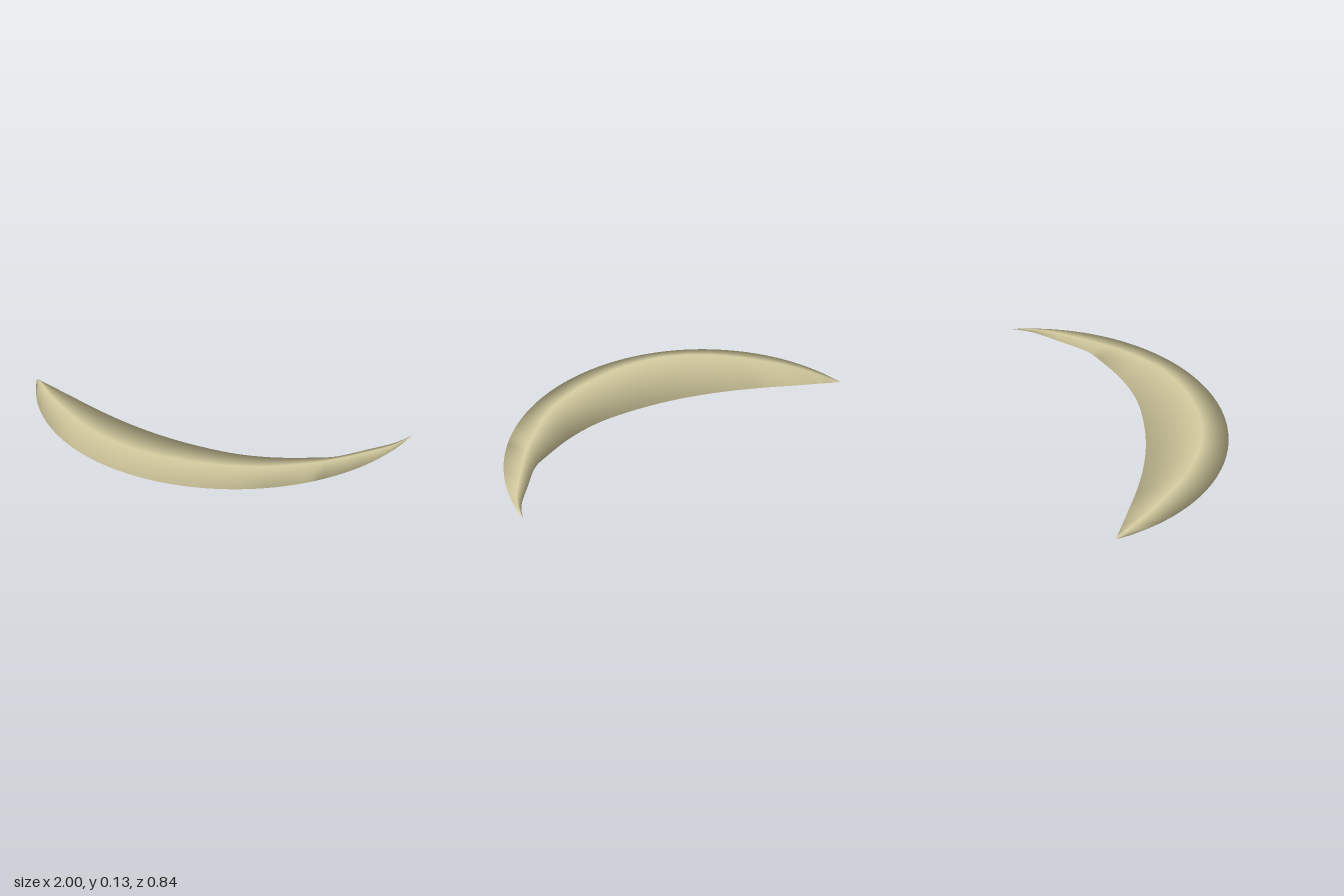
import * as THREE from 'three';

// Stations from the right tip to the left tip: x, ridge z, inner edge z, half thickness
const stations = [
  [-1, -0.42, -0.42, 0],
  [-0.95, -0.35, -0.393, 0.014],
  [-0.9, -0.27, -0.365, 0.025],
  [-0.8, -0.14, -0.31, 0.04],
  [-0.6, 0.06, -0.2, 0.056],
  [-0.4, 0.19, -0.108, 0.064],
  [-0.2, 0.255, -0.04, 0.066],
  [0, 0.27, 0.003, 0.064],
  [0.2, 0.25, 0.022, 0.059],
  [0.4, 0.19, 0.0, 0.05],
  [0.6, 0.065, -0.06, 0.036],
  [0.7, -0.02, -0.105, 0.027],
  [0.82, -0.14, -0.21, 0.018],
  [0.94, -0.28, -0.322, 0.007],
  [1, -0.42, -0.42, 0],
];
const MID_Y = 0.066;
const SEGMENTS = 70;

// Smooth rail through one column of the stations
const rail = (col) => new THREE.SplineCurve(stations.map((s) => new THREE.Vector2(s[0], s[col])));

// The outer cutting edge is a circular arc
const outerZ = (x) => -0.6 + Math.sqrt(Math.max(0, 1.0155 ** 2 - x * x));

function bladeGeometry() {
  const ridge = rail(1), inner = rail(2), height = rail(3);
  const positions = [], index = [];
  for (let i = 0; i <= SEGMENTS; i++) {
    const t = i / SEGMENTS;
    const { x, y: ridgeZ } = ridge.getPoint(t);
    const innerZ = inner.getPoint(t).y;
    const h = height.getPoint(t).y;
    const tip = i === 0 || i === SEGMENTS;
    // Diamond section: outer edge, upper ridge, inner edge, lower ridge
    positions.push(
      x, MID_Y, tip ? innerZ : outerZ(x),
      x, MID_Y + h, ridgeZ,
      x, MID_Y, innerZ,
      x, MID_Y - h, ridgeZ,
    );
  }
  for (let i = 0; i < SEGMENTS; i++) {
    for (let j = 0; j < 4; j++) {
      const k = (j + 1) % 4;
      const a = i * 4 + j, c = i * 4 + k, b = a + 4, d = c + 4;
      if (i > 0) index.push(a, b, c);
      if (i < SEGMENTS - 1) index.push(b, d, c);
    }
  }
  const geometry = new THREE.BufferGeometry();
  geometry.setAttribute('position', new THREE.Float32BufferAttribute(positions, 3));
  geometry.setIndex(index);
  geometry.computeVertexNormals();
  return geometry;
}

export function createModel() {
  const group = new THREE.Group();
  group.name = 'crescentBlade';

  const bone = new THREE.MeshStandardMaterial({ color: 0xd8cfa2 });
  bone.name = 'pale bone';

  const blade = new THREE.Mesh(bladeGeometry(), bone);
  blade.name = 'blade';
  group.add(blade);
  return group;
}
